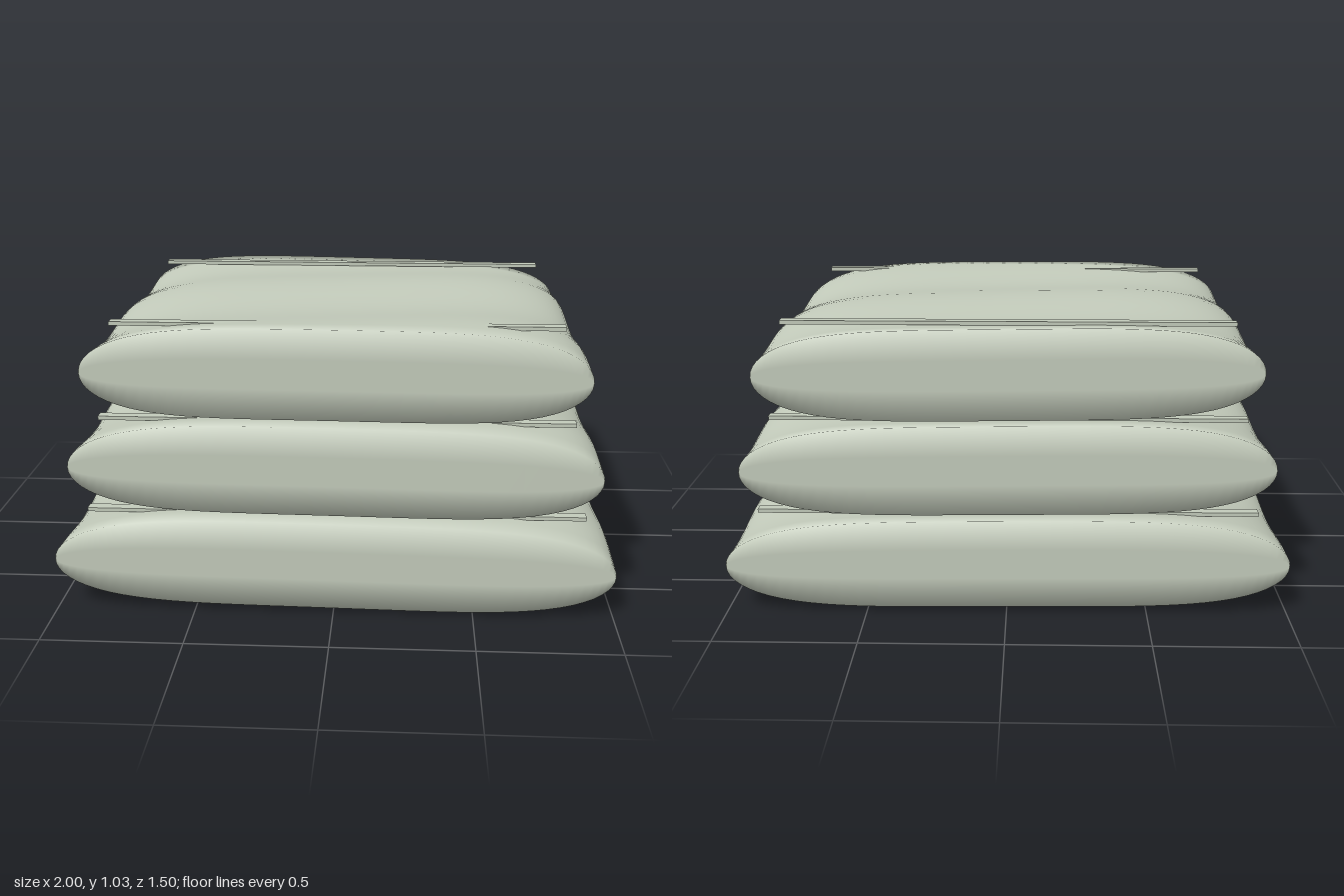
import * as THREE from 'three';
import { mergeVertices } from 'three/addons/utils/BufferGeometryUtils.js';

const fabric = new THREE.MeshStandardMaterial({ color: 0xc3cbbb });
fabric.name = 'sage fabric';

// Soft folded slab: thickness tapers to the x ends, gentle ripples run across it
function towelGeometry(width, height, depth) {
  const geo = new THREE.BoxGeometry(2, 2, 2, 40, 3, 18);
  geo.deleteAttribute('uv');
  geo.deleteAttribute('normal');
  const p = geo.attributes.position;
  for (let i = 0; i < p.count; i++) {
    const u = Math.sin(p.getX(i) * Math.PI / 2); // denser columns at the ends
    const taper = Math.sqrt(Math.max(0, 1 - Math.abs(u) ** 4.5));
    const x = u * width / 2;
    const z = p.getZ(i) * depth / 2;
    const ripple = 0.013 * Math.cos(8.5 * z + 1.2 * x - 5.3);
    p.setXYZ(i, x, p.getY(i) * taper * height / 2 + ripple, z);
  }
  const smooth = mergeVertices(geo, 1e-5);
  smooth.computeVertexNormals();
  return smooth;
}

export function createModel() {
  const model = new THREE.Group();
  model.name = 'foldedTowelStack';

  // Three towels, smaller towards the top
  const layers = [
    { w: 2.0, d: 1.5, y: 0.178, bandW: 1.8, bandZ: 0.62 },
    { w: 1.885, d: 1.425, y: 0.518, bandW: 1.7, bandZ: 0.585 },
    { w: 1.78, d: 1.35, y: 0.857, bandW: 1.6, bandZ: 0.55 },
  ];

  layers.forEach((l, i) => {
    const group = new THREE.Group();
    group.name = `towel${i + 1}`;
    group.position.y = l.y;

    const body = new THREE.Mesh(towelGeometry(l.w, 0.326, l.d), fabric);
    body.name = 'towelBody';
    group.add(body);

    // Narrow woven bands along the front and back
    for (const side of [1, -1]) {
      const band = new THREE.Mesh(new THREE.BoxGeometry(l.bandW, 0.014, 0.04), fabric);
      band.name = side > 0 ? 'frontBand' : 'backBand';
      band.position.set(0, 0.161, side * l.bandZ);
      group.add(band);
    }
    model.add(group);
  });

  return model;
}
